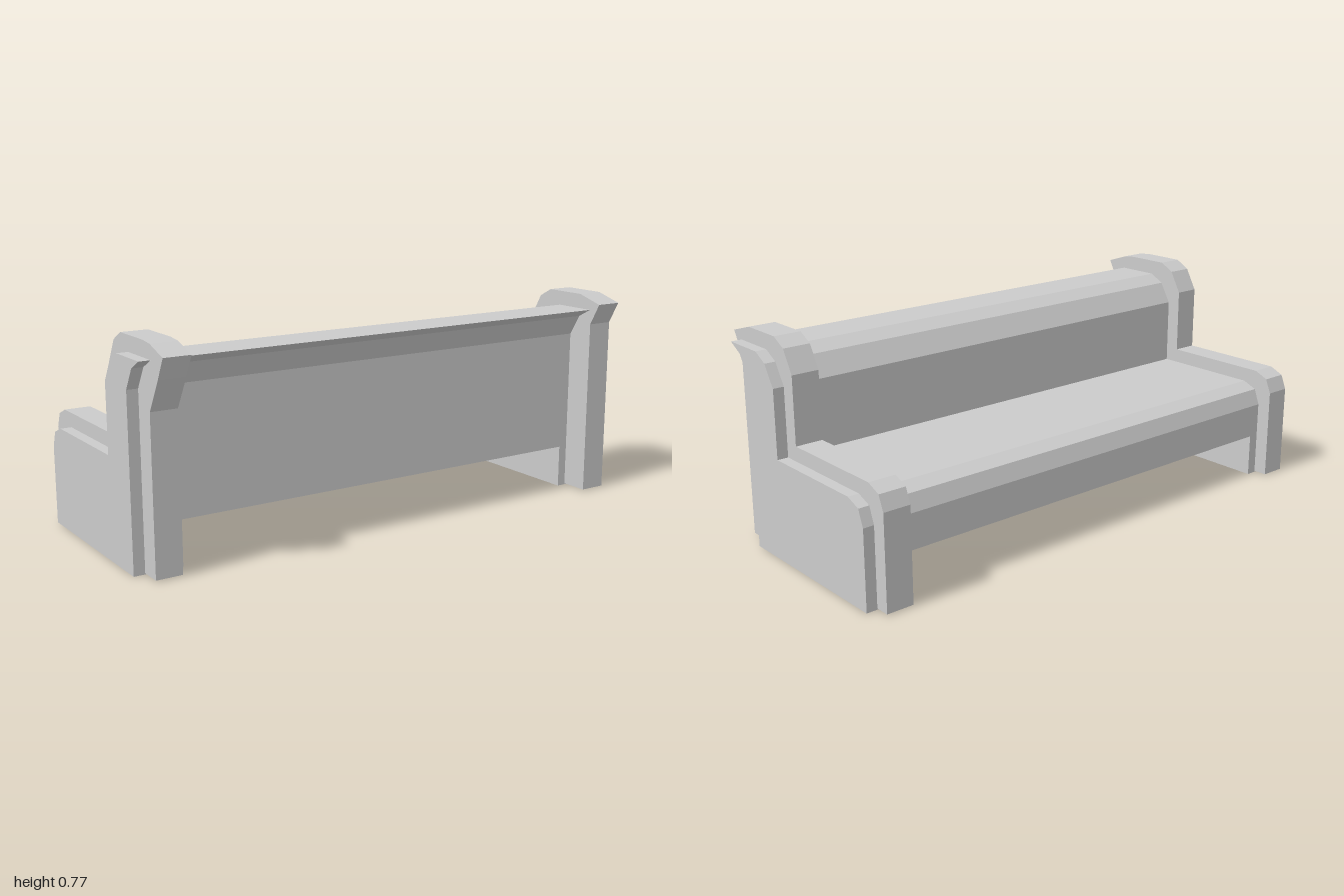
import * as THREE from 'three';

const material = new THREE.MeshStandardMaterial({ color: 0xcccccc, flatShading: true });

// Extrude a side profile of [z, y] points along x, from x0 to x1
function slab(name, profile, x0, x1) {
  const shape = new THREE.Shape(profile.map(([z, y]) => new THREE.Vector2(-z, y)));
  const geometry = new THREE.ExtrudeGeometry(shape, { depth: x1 - x0, bevelEnabled: false });
  geometry.rotateY(Math.PI / 2).translate(x0, 0, 0);
  const mesh = new THREE.Mesh(geometry, material);
  mesh.name = name;
  return mesh;
}

// Bench section with its underside at the given height
const benchProfile = (bottom) => [
  [0.265, bottom], [0.265, 0.61], [0.31, 0.685], [0.365, 0.715],
  [0.2, 0.715], [0.145, 0.685], [0.1, 0.61], [0.1, 0.365],
  [-0.32, 0.365], [-0.375, 0.343], [-0.397, 0.285], [-0.397, bottom],
];

// Edge of the end trims shared by both sides: over the top, down to the seat and floor
const trimEdge = [
  [0.31, 0.77], [0.145, 0.77], [0.09, 0.74], [0.045, 0.66], [0.045, 0.418],
  [-0.375, 0.418], [-0.428, 0.395], [-0.45, 0.342], [-0.45, 0.004],
];

export function createModel() {
  const group = new THREE.Group();
  group.name = 'bench';

  // Seat and backrest, raised between the two end supports
  group.add(slab('seatAndBackrest', benchProfile(0.16), -0.825, 0.825));
  group.add(slab('leftEndSupport', benchProfile(0), 0.825, 1));
  group.add(slab('rightEndSupport', benchProfile(0), -1, -0.825));

  // Thick trims around the ends; the right one flares further behind the backrest
  const leftBack = [[0.37, 0.004], [0.37, 0.66], [0.413, 0.74]];
  const rightBack = [[0.345, 0.004], [0.345, 0.55], [0.41, 0.66], [0.45, 0.735], [0.36, 0.765]];
  group.add(slab('leftTrim', [...leftBack, ...trimEdge], 0.86, 0.96));
  group.add(slab('rightTrim', [...rightBack, ...trimEdge], -0.96, -0.865));

  return group;
}
